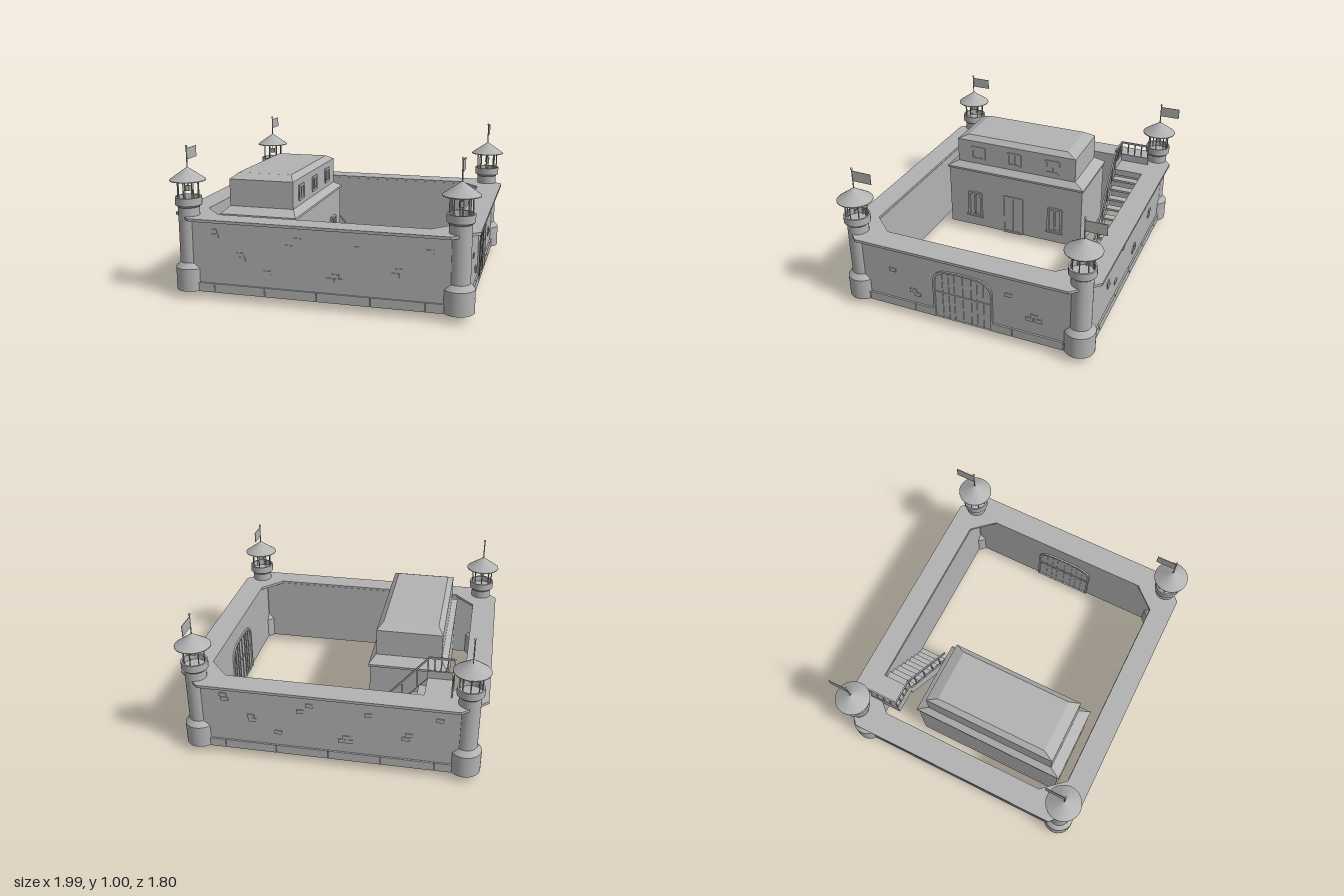
import * as THREE from 'three';

const stone = new THREE.MeshStandardMaterial({ color: 0xb3b3b3 });
stone.name = 'stone grey';
stone.side = THREE.DoubleSide;

const TX = 0.88, TZ = 0.775; // tower centres

function add(parent, name, geo, x = 0, y = 0, z = 0) {
  const m = new THREE.Mesh(geo, stone);
  m.name = name;
  m.position.set(x, y, z);
  parent.add(m);
  return m;
}

function group(parent, name) {
  const g = new THREE.Group();
  g.name = name;
  parent.add(g);
  return g;
}

// box given by its two limits on each axis
function block(parent, name, x0, x1, y0, y1, z0, z1) {
  return add(parent, name, new THREE.BoxGeometry(x1 - x0, y1 - y0, z1 - z0),
    (x0 + x1) / 2, (y0 + y1) / 2, (z0 + z1) / 2);
}

// block whose top is drawn in by ix and iz
function taper(parent, name, x0, x1, y0, y1, z0, z1, ix, iz) {
  const m = block(parent, name, x0, x1, y0, y1, z0, z1);
  const p = m.geometry.attributes.position;
  for (let i = 0; i < p.count; i++) {
    if (p.getY(i) > 0) {
      p.setX(i, p.getX(i) - Math.sign(p.getX(i)) * ix);
      p.setZ(i, p.getZ(i) - Math.sign(p.getZ(i)) * iz);
    }
  }
  m.geometry.computeVertexNormals();
  return m;
}

function polygon(pts, Type = THREE.Shape) {
  return new Type(pts.map(([x, y]) => new THREE.Vector2(x, y)));
}

// straight-sided turned section: each band has its own normals
function turned(parent, name, pts) {
  for (let i = 0; i < pts.length - 1; i++) {
    const pair = [pts[i], pts[i + 1]].map(([r, y]) => new THREE.Vector2(r, y));
    add(parent, name, new THREE.LatheGeometry(pair, 32));
  }
}

function tower(parent, x, z) {
  const t = group(parent, 'tower');
  t.position.set(x, 0, z);
  turned(t, 'towerShaft', [[0, 0.05], [0.1, 0.05], [0.1, 0.2], [0.07, 0.235], [0.07, 0.6],
    [0.087, 0.615], [0.087, 0.665], [0.076, 0.665], [0.076, 0.625], [0, 0.625]]);
  for (let i = 0; i < 8; i++) {
    const a = i * Math.PI / 4;
    add(t, 'galleryPost', new THREE.CylinderGeometry(0.004, 0.004, 0.15, 8),
      0.07 * Math.cos(a), 0.7, 0.07 * Math.sin(a));
  }
  turned(t, 'conicalRoof', [[0, 0.772], [0.117, 0.772], [0.117, 0.777], [0.005, 0.856]]);
  add(t, 'lantern', new THREE.BoxGeometry(0.028, 0.035, 0.028), 0, 0.72, 0);
  add(t, 'lanternRod', new THREE.CylinderGeometry(0.003, 0.003, 0.05, 6), 0, 0.755, 0);
  add(t, 'flagPole', new THREE.CylinderGeometry(0.004, 0.004, 0.14, 8), 0, 0.92, 0);
  add(t, 'poleBall', new THREE.SphereGeometry(0.008, 12, 8), 0, 0.992, 0);
  block(t, 'flag', -0.002, 0.002, 0.905, 0.977, -0.135, 0);
}

// thin bricks and plinth stones on one wall; the local face looks along +z
function wallDetails(parent, bricks, half, gate) {
  const g = group(parent, 'wallDetails');
  for (const [u, y] of bricks) block(g, 'brick', u - 0.024, u + 0.024, y - 0.013, y + 0.013, -0.005, 0.007);
  for (let u = -0.69 - 0.345; u < half; u += 0.345) {
    let a = Math.max(u, -half), b = Math.min(u + 0.341, half);
    if (gate && a < 0.21 && b > -0.21) {
      if (a < -0.21) block(g, 'plinth', a, -0.21, 0.05, 0.11, -0.005, 0.012);
      if (b > 0.21) block(g, 'plinth', 0.21, b, 0.05, 0.11, -0.005, 0.012);
    } else if (b > a) block(g, 'plinth', a, b, 0.05, 0.11, -0.005, 0.012);
  }
  return g;
}

function archPoints(Type, w, h, r) {
  const s = new Type();
  s.moveTo(-w, 0);
  s.lineTo(-w, h - r);
  s.quadraticCurveTo(-w, h - 0.01, -w + r, h - 0.004);
  s.quadraticCurveTo(0, h + 0.004, w - r, h - 0.004);
  s.quadraticCurveTo(w, h - 0.01, w, h - r);
  s.lineTo(w, 0);
  s.closePath();
  return s;
}

// arched double gate with frame, plank strips; local face looks along +z
function gate(parent) {
  const g = group(parent, 'gate');
  const frame = archPoints(THREE.Shape, 0.21, 0.375, 0.11);
  frame.holes.push(archPoints(THREE.Path, 0.197, 0.362, 0.105));
  add(g, 'gateFrame', new THREE.ExtrudeGeometry(frame, { depth: 0.012, bevelEnabled: false, curveSegments: 8 }), 0, 0.05, 0);
  for (const u of [-0.145, -0.1, -0.06, 0, 0.06, 0.1, 0.145])
    block(g, 'gatePlankStrip', u - 0.003, u + 0.003, 0.05, 0.405, 0, 0.005);
  block(g, 'gateCrossbar', -0.197, 0.197, 0.24, 0.25, 0, 0.006);
  return g;
}

// framed window with centre bar on the house's +x side
function windowFrame(parent, x, y, z, w, h, d) {
  const g = group(parent, 'window');
  g.position.set(x, y, z);
  for (const s of [-1, 1]) {
    block(g, 'windowJamb', 0, d, -h / 2, h / 2, s * w / 2 - 0.008, s * w / 2 + 0.008);
    block(g, 'windowLintel', 0, d, s * h / 2 - 0.008, s * h / 2 + 0.008, -w / 2, w / 2);
  }
  block(g, 'windowMullion', 0, d * 0.7, -h / 2, h / 2, -0.006, 0.006);
}

function house(parent) {
  const g = group(parent, 'house');
  block(g, 'houseBody', -0.7, -0.2, 0.05, 0.52, -0.405, 0.66);
  block(g, 'eave', -0.71, -0.19, 0.52, 0.535, -0.415, 0.67);
  taper(g, 'lowerRoof', -0.71, -0.19, 0.535, 0.575, -0.415, 0.67, 0.04, 0.075);
  block(g, 'upperStorey', -0.67, -0.23, 0.57, 0.755, -0.338, 0.595);
  taper(g, 'upperRoof', -0.67, -0.23, 0.755, 0.788, -0.338, 0.595, 0.037, 0.075);
  for (const z of [0.45, -0.2]) {
    windowFrame(g, -0.2, 0.24, z, 0.1, 0.19, 0.014);
    block(g, 'windowSill', -0.2, -0.18, 0.135, 0.15, z - 0.065, z + 0.065);
  }
  for (const z of [0.43, 0.14, -0.16]) windowFrame(g, -0.23, 0.66, z, 0.1, 0.09, 0.006);
  // door
  windowFrame(g, -0.2, 0.205, 0.14, 0.15, 0.3, 0.008);
}

function stairs(parent) {
  const g = group(parent, 'stairs');
  const z0 = -0.735, z1 = -0.52;
  block(g, 'landing', -0.77, -0.595, 0.5, 0.545, z0, z1);
  block(g, 'landingParapet', -0.77, -0.76, 0.545, 0.597, z0, z1);
  block(g, 'landingParapet', -0.77, -0.595, 0.545, 0.597, z1 - 0.01, z1);
  // landing rails
  block(g, 'landingRail', -0.77, -0.76, 0.687, 0.7, z0, z1);
  block(g, 'landingRail', -0.77, -0.595, 0.687, 0.7, z1 - 0.01, z1);
  for (let i = 0; i < 5; i++) {
    const z = z1 - 0.005 - i * 0.051, x = -0.765 + i * 0.0425;
    block(g, 'railPost', -0.769, -0.761, 0.597, 0.69, z - 0.004, z + 0.004);
    block(g, 'railPost', x - 0.004, x + 0.004, 0.597, 0.69, z1 - 0.009, z1 - 0.001);
  }
  // open treads with sloping side beams
  const n = 9, run = 0.43 / n, rise = 0.52 / n;
  for (let i = 0; i < n; i++) {
    const x = -0.6 + i * run, y = 0.545 - (i + 1) * rise;
    block(g, 'tread', x, x + run + 0.01, y - 0.016, y, z0, z1);
    if (i % 2) block(g, 'stairPost', x + 0.02, x + 0.028, y, y + 0.16, z1 - 0.009, z1 - 0.001);
  }
  const beam = polygon([[-0.6, 0.545], [-0.16, 0.04], [-0.16, 0], [-0.235, 0], [-0.6, 0.45]]);
  const rail = polygon([[-0.6, 0.7], [-0.16, 0.185], [-0.16, 0.17], [-0.6, 0.685]]);
  const opt = { depth: 0.012, bevelEnabled: false };
  add(g, 'stairBeam', new THREE.ExtrudeGeometry(beam, opt), 0, 0, z1 - 0.012);
  add(g, 'stairRail', new THREE.ExtrudeGeometry(rail, opt), 0, 0, z1 - 0.012);
  block(g, 'stairFoot', -0.24, -0.165, 0.02, 0.05, -0.775, z1);
}

export function createModel() {
  const root = new THREE.Group();
  root.name = 'fort';

  // curtain walls
  for (const s of [-1, 1]) {
    add(root, s > 0 ? 'frontWall' : 'backWall', new THREE.BoxGeometry(1.76, 0.48, 0.1), 0, 0.29, s * 0.78);
    add(root, s > 0 ? 'leftWall' : 'rightWall', new THREE.BoxGeometry(0.1, 0.48, 1.55), s * 0.88, 0.29, 0);
    for (const t of [-1, 1]) tower(root, s * TX, t * TZ);
  }

  // walkway ring with cut corners
  const ring = (x, z, cx, cz) => [[x, z - cz], [x - cx, z], [cx - x, z], [-x, z - cz],
    [-x, cz - z], [cx - x, -z], [x - cx, -z], [x, cz - z]];
  const walk = polygon(ring(0.997, 0.887, 0.16, 0.155));
  walk.holes.push(polygon(ring(0.83, 0.733, 0.135, 0.15), THREE.Path));
  const slab = add(root, 'walkway', new THREE.ExtrudeGeometry(walk, { depth: 0.018, bevelEnabled: false }), 0, 0.545, 0);
  slab.rotation.x = Math.PI / 2;

  // bricks on each wall
  const longBricks = [[-0.69, 0.46], [-0.68, 0.43], [-0.18, 0.39], [-0.12, 0.44], [0.26, 0.415], [0.71, 0.43],
    [-0.51, 0.315], [-0.5, 0.288], [-0.33, 0.21], [0.12, 0.226], [0.09, 0.198], [0.14, 0.198], [0.52, 0.295], [0.5, 0.265]];
  const sideBricks = [[-0.505, 0.33], [0.32, 0.36], [-0.36, 0.205], [-0.33, 0.18], [0.49, 0.245], [0.46, 0.218], [0.52, 0.218]];
  wallDetails(root, longBricks, 0.8, false).position.z = 0.83;
  const back = wallDetails(root, longBricks, 0.8, false);
  back.position.z = -0.83;
  back.rotation.y = Math.PI;
  const left = wallDetails(root, sideBricks, 0.7, true);
  left.position.x = 0.93;
  left.rotation.y = Math.PI / 2;
  const right = wallDetails(root, [...sideBricks, [-0.05, 0.4], [0.08, 0.25], [0.11, 0.222]], 0.7, false);
  right.position.x = -0.93;
  right.rotation.y = -Math.PI / 2;

  // gate on both faces of the left wall
  for (const s of [-1, 1]) {
    const g = gate(root);
    g.position.x = s > 0 ? 0.93 : 0.83;
    g.rotation.y = s * Math.PI / 2;
  }

  house(root);
  stairs(root);
  return root;
}
